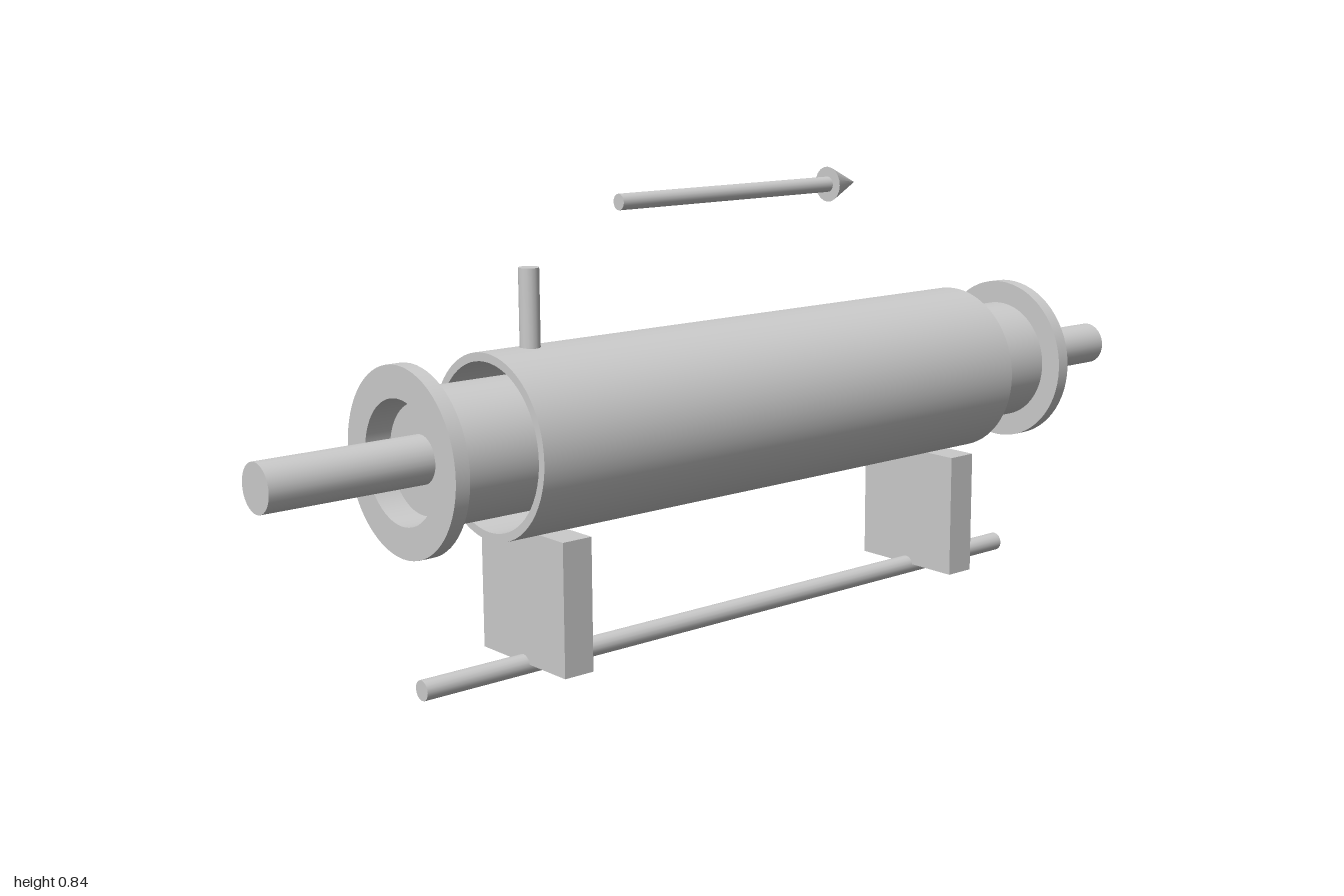
import * as THREE from 'three';

const AXIS_Y = 0.411;
const material = new THREE.MeshStandardMaterial({ color: 0xcccccc });

export function createModel() {
  const model = new THREE.Group();

  const add = (name, geometry, x, y, z = 0) => {
    const mesh = new THREE.Mesh(geometry, material);
    mesh.name = name;
    mesh.position.set(x, y, z);
    model.add(mesh);
    return mesh;
  };

  // Solid round bar along x
  const bar = (name, radius, x0, x1, y, sides) =>
    add(name, new THREE.CylinderGeometry(radius, radius, x1 - x0, sides).rotateZ(-Math.PI / 2), (x0 + x1) / 2, y);

  // Hollow pipe along x; each wall is separate so its edges stay sharp
  const pipe = (name, outer, inner, x0, x1) => {
    const half = (x1 - x0) / 2;
    const corners = [[inner, -half], [outer, -half], [outer, half], [inner, half], [inner, -half]];
    const group = new THREE.Group();
    group.name = name;
    group.position.set((x0 + x1) / 2, AXIS_Y, 0);
    for (let i = 0; i < 4; i++) {
      const wall = corners.slice(i, i + 2).map(([r, h]) => new THREE.Vector2(r, h));
      const mesh = new THREE.Mesh(new THREE.LatheGeometry(wall, 64).rotateZ(-Math.PI / 2), material);
      mesh.name = name + 'Wall';
      group.add(mesh);
    }
    model.add(group);
  };

  // Nested body: jacket, inner tube, core and through shaft
  pipe('outerJacket', 0.161, 0.146, -0.57, 0.57);
  pipe('innerTube', 0.117, 0.106, -0.73, 0.73);
  bar('core', 0.094, -0.7, 0.7, AXIS_Y, 64);
  bar('shaft', 0.042, -1, 1, AXIS_Y, 32);

  // End flanges and support blocks, mirrored
  for (const side of [-1, 1]) {
    pipe('endFlange', 0.161, 0.106, side * 0.727 - 0.0135, side * 0.727 + 0.0135);
    add('supportBlock', new THREE.BoxGeometry(0.06, 0.238, 0.238), side * 0.475, 0.14);
  }

  // Base rail and upright port
  bar('baseRail', 0.018, -0.713, 0.713, 0.018, 16);
  add('port', new THREE.CylinderGeometry(0.018, 0.018, 0.14, 16), -0.478, 0.637);

  // Floating direction arrow
  bar('arrowShaft', 0.0145, -0.285, 0.215, 0.803, 16);
  add('arrowHead', new THREE.ConeGeometry(0.033, 0.07, 20).rotateZ(-Math.PI / 2), 0.25, 0.803);

  return model;
}
